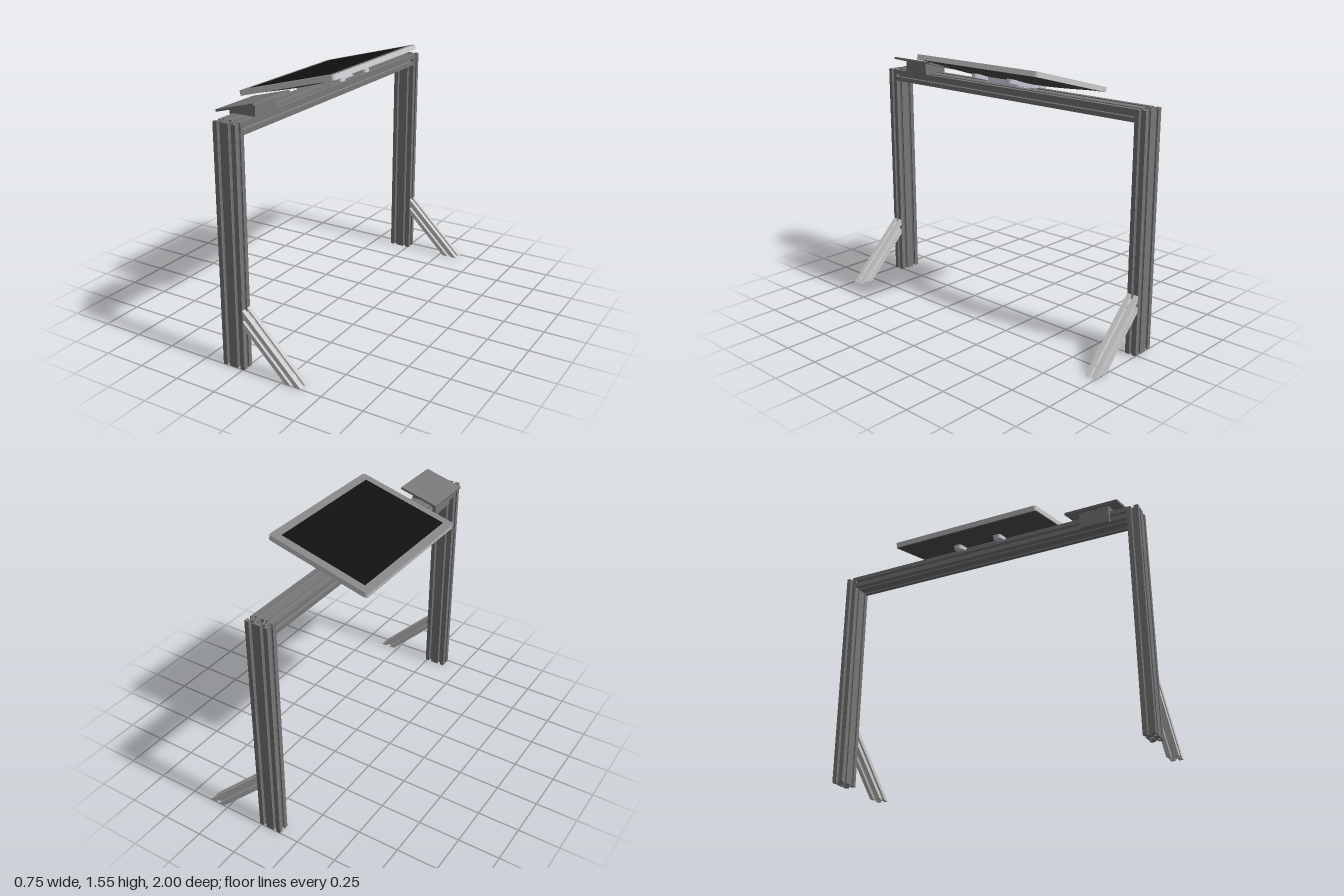
import * as THREE from 'three';

const CELL = 0.07;
const TILT = THREE.MathUtils.degToRad(15);
const mat = (color, extra = {}) => new THREE.MeshStandardMaterial({ color, ...extra });

function add(parent, name, geometry, material, x = 0, y = 0, z = 0) {
  const mesh = new THREE.Mesh(geometry, material);
  mesh.name = name;
  mesh.position.set(x, y, z);
  parent.add(mesh);
  return mesh;
}

// Slotted framing profile, a row of square cells with a T-slot in every outer side
function slotProfile(cells) {
  const slot = [[-0.009, 0], [-0.009, 0.008], [-0.018, 0.008], [-0.008, 0.021],
    [0.008, 0.021], [0.018, 0.008], [0.009, 0.008], [0.009, 0]];
  const w = cells * CELL / 2, h = CELL / 2;
  const pts = [];
  // start corner, walking direction and number of slots, counter-clockwise
  const sides = [[-w, -h, 1, 0, cells], [w, -h, 0, 1, 1], [w, h, -1, 0, cells], [-w, h, 0, -1, 1]];
  for (const [sx, sy, dx, dy, n] of sides) {
    pts.push(new THREE.Vector2(sx, sy));
    for (let i = 0; i < n; i++) {
      for (const [s, d] of slot) {
        const a = (i + 0.5) * CELL + s;
        pts.push(new THREE.Vector2(sx + dx * a - dy * d, sy + dy * a + dx * d));
      }
    }
  }
  const shape = new THREE.Shape(pts);
  // bore in each cell and a hollow between neighbours
  for (let i = 0; i < cells; i++) {
    const cx = (i + 0.5) * CELL - w;
    shape.holes.push(new THREE.Path().absarc(cx, 0, 0.007, 0, Math.PI * 2, true));
    if (i > 0) {
      const m = cx - CELL / 2;
      shape.holes.push(new THREE.Path([[-0.018, 0], [-0.01, 0.022], [0.01, 0.022],
        [0.018, 0], [0.01, -0.022], [-0.01, -0.022]].map(([x, y]) => new THREE.Vector2(m + x, y))));
    }
  }
  return shape;
}

const extrude = (shape, depth) =>
  new THREE.ExtrudeGeometry(shape, { depth, bevelEnabled: false, curveSegments: 6 });

// Diagonal strut, cut vertical at the post and level at the floor
function braceGeometry() {
  const g = extrude(slotProfile(1), 1);
  const p = g.attributes.position;
  for (let i = 0; i < p.count; i++) {
    const side = p.getX(i), off = p.getY(i) * Math.SQRT2;
    if (p.getZ(i) < 0.5) p.setXYZ(i, 0.325 + off, 0, side);
    else p.setXYZ(i, 0.01, 0.31 + off, side);
  }
  g.computeVertexNormals();
  return g;
}

function roundedRect(w, h, r) {
  const s = new THREE.Shape(), x = w / 2 - r, y = h / 2 - r;
  s.absarc(x, y, r, 0, Math.PI / 2);
  s.absarc(-x, y, r, Math.PI / 2, Math.PI);
  s.absarc(-x, -y, r, Math.PI, Math.PI * 1.5);
  s.absarc(x, -y, r, Math.PI * 1.5, Math.PI * 2);
  return s;
}

// Flat plate lying in x-z with its underside at y = 0
const plate = (w, d, r, t) => extrude(roundedRect(w, d, r), t).rotateX(-Math.PI / 2);

export function createModel() {
  const model = new THREE.Group();
  model.name = 'screenStand';
  const light = mat(0xcccccc);
  const frame = mat(0x777777);
  const bezel = mat(0x858585);
  const dark = mat(0x505050, { side: THREE.DoubleSide });
  const black = mat(0x111111);
  const steel = mat(0xc8c8d6);

  // Posts, braces and brace bolts at both ends
  const postGeo = extrude(slotProfile(2), 1.38).rotateX(-Math.PI / 2);
  const braceGeo = braceGeometry();
  const boltGeo = new THREE.CylinderGeometry(0.012, 0.012, 0.01, 12).rotateZ(-Math.PI / 4);
  for (const s of [1, -1]) {
    const end = new THREE.Group();
    end.name = s > 0 ? 'frontLeg' : 'rearLeg';
    end.position.z = s * 0.965;
    add(end, 'post', postGeo, frame, -0.06);
    add(end, 'brace', braceGeo, light);
    for (const y of [0.31, 0.05]) add(end, 'braceBolt', boltGeo, light, 0.361 - y, y - 0.01, 0);
    model.add(end);
  }

  // Cross beam between the posts
  add(model, 'crossBeam', extrude(slotProfile(2), 1.86), frame, -0.06, 1.345, -0.93);

  // Tilted monitor
  const monitor = new THREE.Group();
  monitor.name = 'monitor';
  monitor.position.set(-0.058, 1.456, -0.005);
  monitor.rotation.z = TILT;
  add(monitor, 'monitorCase', plate(0.645, 0.942, 0.018, 0.03), [bezel, light], 0, -0.015, 0);
  add(monitor, 'screen', new THREE.BoxGeometry(0.545, 0.002, 0.84), black, 0, 0.0155, 0);

  // Bulged back cover
  const back = new THREE.PlaneGeometry(0.62, 0.925, 24, 24).rotateX(Math.PI / 2);
  const p = back.attributes.position;
  for (let i = 0; i < p.count; i++) {
    const u = p.getX(i) / 0.31, v = p.getZ(i) / 0.4625;
    p.setY(i, -0.0155 - 0.03 * (1 - u * u) * (1 - v ** 4));
  }
  back.computeVertexNormals();
  add(monitor, 'backCover', back, dark);

  // H-shaped mount between monitor and beam
  const mount = new THREE.Group();
  mount.name = 'monitorMount';
  const armGeo = plate(0.325, 0.05, 0.02, 0.025);
  for (const s of [1, -1]) add(mount, 'mountArm', armGeo, steel, 0, -0.065, s * 0.135);
  add(mount, 'mountPlate', new THREE.BoxGeometry(0.13, 0.03, 0.25), steel, 0, -0.057, 0);
  monitor.add(mount);
  model.add(monitor);

  // Small tilted shelf and its wedge bracket hooked over the beam
  const shelf = add(model, 'sidePanel', new THREE.BoxGeometry(0.247, 0.013, 0.325), frame, -0.07, 1.433, 0.735);
  shelf.rotation.z = TILT;
  const wedge = new THREE.Shape([[-0.152, 1.305], [-0.13, 1.305], [-0.13, 1.38], [0.01, 1.38],
    [0.01, 1.449], [-0.152, 1.406]].map(([x, y]) => new THREE.Vector2(x, y)));
  add(model, 'panelBracket', extrude(wedge, 0.18), frame, 0, 0, 0.65);

  return model;
}
